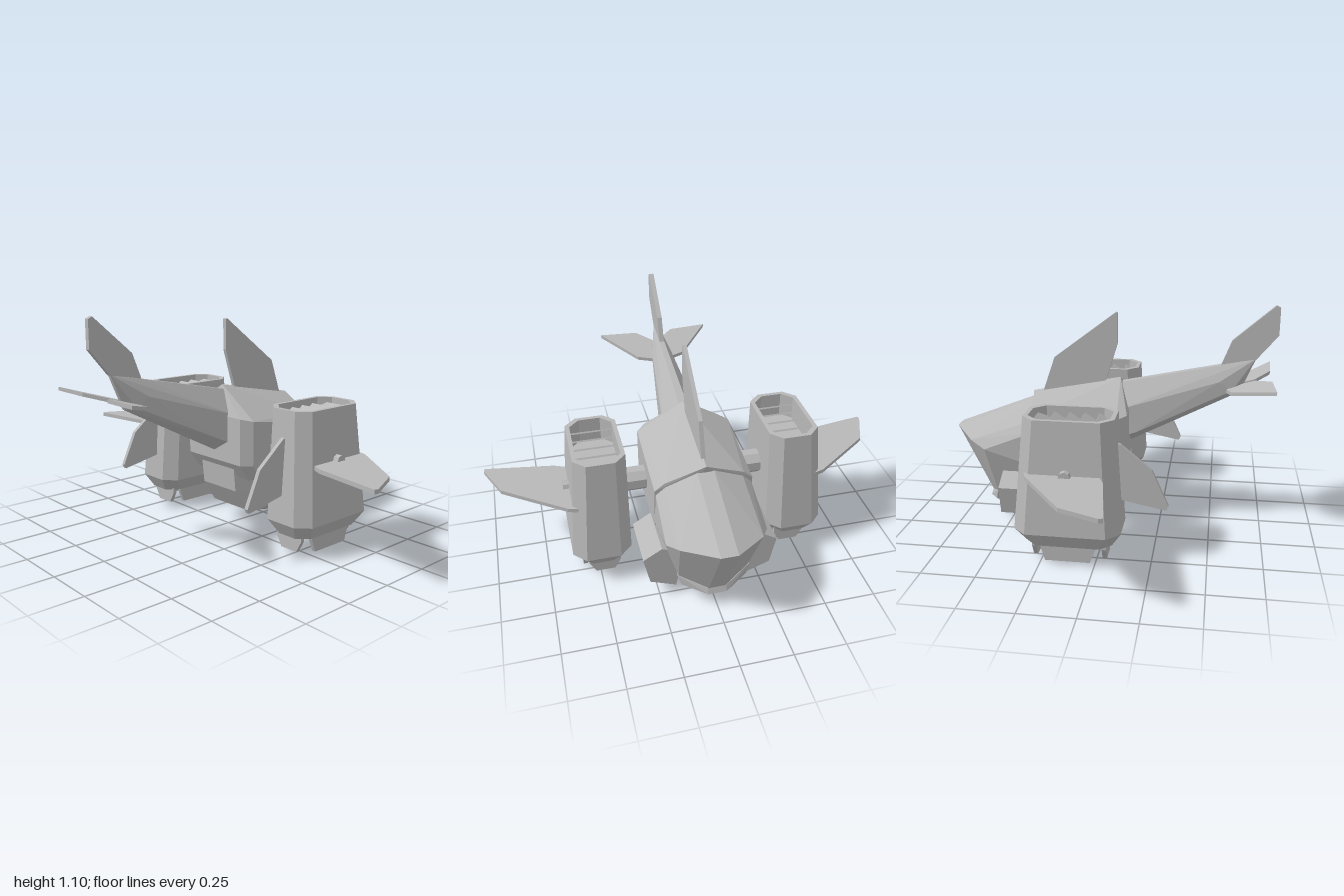
import * as THREE from 'three';
import { ConvexGeometry } from 'three/addons/geometries/ConvexGeometry.js';

const hullGrey = new THREE.MeshStandardMaterial({ color: 0xb8b8b8 });
hullGrey.name = 'hullGrey';

// Flat-faced copy of a geometry, optionally mirrored across x = 0
function faceted(source, mirror) {
  const geo = source.index ? source.toNonIndexed() : source.clone();
  geo.clearGroups();
  if (mirror) {
    geo.scale(-1, 1, 1);
    const p = geo.attributes.position;
    const a = new THREE.Vector3(), b = new THREE.Vector3();
    for (let i = 0; i < p.count; i += 3) {
      a.fromBufferAttribute(p, i + 1);
      b.fromBufferAttribute(p, i + 2);
      p.setXYZ(i + 1, b.x, b.y, b.z);
      p.setXYZ(i + 2, a.x, a.y, a.z);
    }
  }
  geo.computeVertexNormals();
  return geo;
}

// Convex block from points of the +x half; points off the centre plane are mirrored
function symmetricHull(points) {
  const all = [];
  for (const [x, y, z] of points) {
    all.push(new THREE.Vector3(x, y, z));
    if (x > 0) all.push(new THREE.Vector3(-x, y, z));
  }
  return new ConvexGeometry(all);
}

// Plate from an outline, centred on its thickness
function plate(points, thickness) {
  const shape = new THREE.Shape(points.map(([a, b]) => new THREE.Vector2(a, b)));
  const geo = new THREE.ExtrudeGeometry(shape, { depth: thickness, bevelEnabled: false });
  return geo.translate(0, 0, -thickness / 2);
}
const uprightPlate = (zy, t, x = 0) => plate(zy, t).rotateY(-Math.PI / 2).translate(x, 0, 0);
const flatPlate = (xz, t, y = 0) => plate(xz, t).rotateX(Math.PI / 2).translate(0, y, 0);

// Rectangle with cut corners at height y, anticlockwise seen from above
function octagon([x0, x1, z0, z1, c, y]) {
  return [[x1, z0 + c], [x1 - c, z0], [x0 + c, z0], [x0, z0 + c],
    [x0, z1 - c], [x0 + c, z1], [x1 - c, z1], [x1, z1 - c]].map(([x, z]) => [x, y, z]);
}

// Skin through a series of octagons, closed at both ends
function loft(sections) {
  const rings = sections.map(octagon), pos = [];
  const tri = (a, b, c) => pos.push(...a, ...b, ...c);
  for (let r = 0; r + 1 < rings.length; r++) {
    for (let i = 0; i < 8; i++) {
      const j = (i + 1) % 8, lo = rings[r], hi = rings[r + 1];
      tri(lo[i], lo[j], hi[j]);
      tri(lo[i], hi[j], hi[i]);
    }
  }
  const first = rings[0], last = rings[rings.length - 1];
  for (let i = 1; i < 7; i++) {
    tri(first[0], first[i + 1], first[i]);
    tri(last[0], last[i], last[i + 1]);
  }
  const geo = new THREE.BufferGeometry();
  geo.setAttribute('position', new THREE.Float32BufferAttribute(pos, 3));
  return geo;
}

export function createModel() {
  const model = new THREE.Group();
  model.name = 'dropship';
  const add = (parent, name, geo, mirror = false) => {
    const mesh = new THREE.Mesh(faceted(geo, mirror), hullGrey);
    mesh.name = name;
    parent.add(mesh);
  };

  // Fuselage
  add(model, 'midBody', symmetricHull([
    [0, 0.73, 0.04], [0.19, 0.59, 0.095], [0.235, 0.58, 0.05], [0.19, 0.36, 0.095],
    [0.235, 0.36, 0.05], [0.19, 0.28, 0.04], [0.235, 0.29, 0],
    [0, 0.645, -0.4], [0.19, 0.56, -0.37], [0.235, 0.52, -0.365],
    [0.235, 0.31, -0.35], [0.16, 0.2, -0.34]]));
  add(model, 'cockpit', symmetricHull([
    [0.04, 0.615, -0.385], [0.185, 0.545, -0.36], [0.23, 0.5, -0.35], [0.235, 0.32, -0.34],
    [0.15, 0.1, -0.36], [0.04, 0.455, -0.795], [0.19, 0.43, -0.68], [0.235, 0.4, -0.6],
    [0.17, 0.16, -0.56], [0.04, 0.11, -0.625]]));
  add(model, 'belly', symmetricHull([
    [0.12, 0.45, 0.085], [0.12, 0.21, 0.06], [0.12, 0.1, -0.01], [0.12, 0.08, -0.1],
    [0.12, 0.45, -0.35], [0.14, 0.12, -0.42], [0.03, 0, -0.4]]));
  add(model, 'chin', symmetricHull([
    [0.03, 0, -0.4], [0.14, 0.09, -0.36], [0.16, 0.16, -0.42], [0.175, 0.16, -0.56],
    [0.16, 0.11, -0.57], [0.045, 0.08, -0.635], [0.045, 0.11, -0.625]]));
  add(model, 'dorsalFin', uprightPlate([
    [0.015, 1.05], [-0.29, 0.82], [-0.355, 0.63], [-0.045, 0.67], [0.025, 0.9], [0.025, 1.05]], 0.02));

  // Tail boom and fins
  add(model, 'tailBoom', symmetricHull([
    [0.02, 0.71, 0.05], [0.1, 0.6, 0.07], [0.1, 0.46, 0.08], [0, 0.4, 0.08],
    [0.1, 0.48, 0.13], [0.015, 0.81, 0.53], [0.055, 0.735, 0.52], [0.045, 0.69, 0.58],
    [0.01, 0.68, 0.62], [0.01, 0.845, 0.69]]));
  add(model, 'tailFin', uprightPlate([
    [0.52, 0.79], [0.575, 0.93], [0.77, 1.1], [0.79, 1.09], [0.79, 0.96], [0.69, 0.84]], 0.024));

  const louver = new THREE.BoxGeometry(0.2, 0.008, 0.062).rotateX(0.6);
  const sideFlap = [[0.005, 0.1], [0.005, 0.08], [-0.02, 0.015], [-0.225, 0.015], [-0.245, 0.08], [-0.245, 0.1]];
  const endFlap = [[0.4, 0.1], [0.4, 0.07], [0.43, 0.015], [0.525, 0.015], [0.555, 0.07], [0.555, 0.1]];

  for (const right of [false, true]) {
    const side = new THREE.Group();
    side.name = right ? 'rightSide' : 'leftSide';
    model.add(side);

    // Tilted tailplane
    const tailplane = flatPlate([[0.01, 0.555], [0.045, 0.555], [0.125, 0.58],
      [0.295, 0.775], [0.1, 0.765], [0.012, 0.69]], 0.017, 0.53);
    const p = tailplane.attributes.position;
    for (let i = 0; i < p.count; i++) p.setY(i, p.getY(i) + 0.29 * p.getZ(i));
    add(side, 'tailplane', tailplane, right);

    // Cheek pod beside the cockpit
    const pod = [[0.235, 0.295, -0.51], [0.325, 0.24, -0.51], [0.295, 0.1, -0.51],
      [0.17, 0.05, -0.51], [0.13, 0.25, -0.51], [0.235, 0.295, -0.245], [0.325, 0.24, -0.245],
      [0.31, 0.18, -0.245], [0.14, 0.14, -0.245], [0.13, 0.25, -0.245],
      [0.295, 0.1, -0.35], [0.17, 0.05, -0.4]];
    add(side, 'cheekPod', new ConvexGeometry(pod.map((v) => new THREE.Vector3(...v))), right);

    // Strut joining the engine to the fuselage
    add(side, 'engineStrut', new THREE.CylinderGeometry(0.06, 0.06, 0.2, 8)
      .rotateY(Math.PI / 8).rotateZ(Math.PI / 2).translate(0.28, 0.425, -0.12), right);

    // Hollow engine casing, from nozzle recess up and over into the intake
    add(side, 'engineCasing', loft([
      [0.43, 0.545, -0.25, 0.01, 0.04, 0.15], [0.42, 0.555, -0.27, 0.03, 0.04, 0.09],
      [0.39, 0.59, -0.315, 0.075, 0.05, 0.09], [0.345, 0.63, -0.365, 0.118, 0.06, 0.16],
      [0.345, 0.588, -0.32, 0.085, 0.055, 0.68], [0.365, 0.568, -0.3, 0.065, 0.05, 0.68],
      [0.365, 0.568, -0.3, 0.065, 0.05, 0.56]]), right);
    for (let i = 0; i < 5; i++) {
      add(side, 'intakeLouver', louver.clone().translate(0.4665, 0.635, -0.26 + i * 0.07), right);
    }

    // Nozzle flaps
    for (const x of [0.405, 0.57]) add(side, 'nozzleSideFlap', uprightPlate(sideFlap, 0.02, x), right);
    for (const z of [0.04, -0.28]) add(side, 'nozzleEndFlap', plate(endFlap, 0.02).translate(0, 0, z), right);

    // Wing with its pivot, and upright fin on the engine
    add(side, 'wing', flatPlate([[0.58, -0.31], [0.63, -0.295], [0.925, -0.085],
      [1, 0.09], [0.995, 0.108], [0.66, 0.055], [0.58, 0.02]], 0.02, 0.43), right);
    add(side, 'wingPivot', new THREE.CylinderGeometry(0.027, 0.027, 0.06, 8)
      .rotateZ(Math.PI / 2).translate(0.605, 0.44, -0.12), right);
    add(side, 'engineFin', uprightPlate([[0.08, 0.56], [0.105, 0.55], [0.245, 0.435],
      [0.32, 0.27], [0.31, 0.25], [0.08, 0.295]], 0.02, 0.475), right);
  }
  return model;
}
